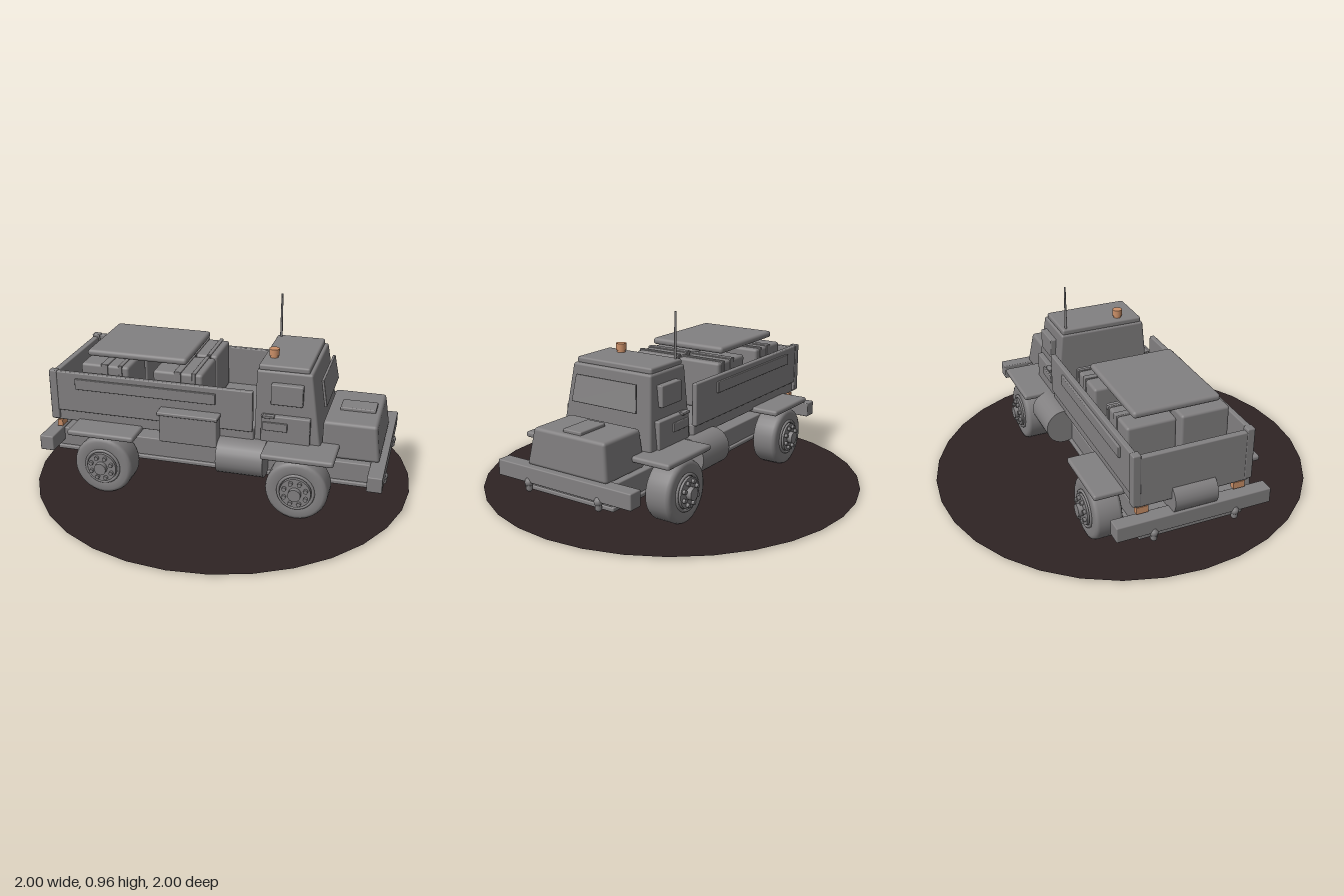
import * as THREE from 'three';
import { RoundedBoxGeometry } from 'three/addons/geometries/RoundedBoxGeometry.js';

export function createModel() {
  const root = new THREE.Group();
  const mat = (name, color, side = THREE.FrontSide) => {
    const m = new THREE.MeshStandardMaterial({ color, side });
    m.name = name;
    return m;
  };
  const grey = mat('body grey', 0x828081);
  const amber = mat('amber lamp', 0xcc9068);
  const earth = mat('dark ground', 0x2e2324, THREE.DoubleSide);

  const add = (name, geo, x, y, z, material = grey, parent = root) => {
    const mesh = new THREE.Mesh(geo, material);
    mesh.name = name;
    mesh.position.set(x, y, z);
    parent.add(mesh);
    return mesh;
  };
  // Box given by its min and max on each axis, with slightly rounded edges
  const box = (name, x0, x1, y0, y1, z0, z1, r = 0.006, material = grey) => {
    const w = x1 - x0, h = y1 - y0, d = z1 - z0;
    const geo = r ? new RoundedBoxGeometry(w, h, d, 2, r) : new THREE.BoxGeometry(w, h, d);
    return add(name, geo, (x0 + x1) / 2, (y0 + y1) / 2, (z0 + z1) / 2, material);
  };
  // Mirrored pair of boxes on +z and -z
  const pair = (name, x0, x1, y0, y1, z0, z1, r, material) => {
    box(name, x0, x1, y0, y1, z0, z1, r, material);
    box(name, x0, x1, y0, y1, -z1, -z0, r, material);
  };
  // Narrow a box toward its top: pull in the front end and both sides
  const taper = (mesh, front, sides) => {
    const g = mesh.geometry, p = g.attributes.position;
    g.computeBoundingBox();
    const b = g.boundingBox.clone();
    for (let i = 0; i < p.count; i++) {
      const t = (p.getY(i) - b.min.y) / (b.max.y - b.min.y);
      const u = (p.getX(i) - b.min.x) / (b.max.x - b.min.x);
      p.setX(i, p.getX(i) - front * t * u);
      p.setZ(i, p.getZ(i) * (1 - sides * t));
    }
    return mesh;
  };

  // Ground disc
  add('ground', new THREE.CircleGeometry(1, 32).rotateX(-Math.PI / 2), 0, 0.008, 0, earth);

  // Chassis and bumpers
  box('chassis', -0.84, 0.84, 0.165, 0.27, -0.255, 0.255);
  box('chassisLip', -0.848, 0.848, 0.15, 0.172, -0.27, 0.27);
  box('frontBumper', 0.813, 0.888, 0.2, 0.28, -0.398, 0.398);
  box('rearBumper', -0.888, -0.813, 0.2, 0.28, -0.398, 0.398);
  for (const x of [-0.878, 0.878]) for (const z of [-0.21, 0.21]) {
    add('towHook', new THREE.CapsuleGeometry(0.017, 0.04, 4, 10), x, 0.19, z);
    add('towEye', new THREE.SphereGeometry(0.022, 12, 8), x, 0.2, z);
  }

  // Wheels: turned tyre, rim, hub and bolts
  const tyreProfile = [[0.05, -0.071], [0.135, -0.071], [0.15, -0.064], [0.156, -0.05],
    [0.156, 0.05], [0.15, 0.064], [0.135, 0.071], [0.1, 0.071], [0.09, 0.064], [0, 0.064]]
    .map(([r, y]) => new THREE.Vector2(r, y));
  const disc = (r, depth, n = 24) => new THREE.CylinderGeometry(r, r, depth, n).rotateX(Math.PI / 2);
  for (const x of [-0.535, 0.475]) {
    add('axle', disc(0.04, 0.6, 16), x, 0.158, 0);
    for (const s of [1, -1]) {
      const wheel = new THREE.Group();
      wheel.name = 'wheel';
      wheel.position.set(x, 0.158, s * 0.346);
      if (s < 0) wheel.rotation.y = Math.PI;
      root.add(wheel);
      add('tyre', new THREE.LatheGeometry(tyreProfile, 32).rotateX(Math.PI / 2), 0, 0, 0, grey, wheel);
      add('rimRing', new THREE.TorusGeometry(0.088, 0.008, 8, 28), 0, 0, 0.07, grey, wheel);
      add('rim', disc(0.078, 0.03), 0, 0, 0.07, grey, wheel);
      add('hub', disc(0.032, 0.05, 16), 0, 0, 0.086, grey, wheel);
      for (let i = 0; i < 8; i++) {
        const a = (i + 0.5) * Math.PI / 4;
        add('bolt', disc(0.011, 0.02, 8), 0.058 * Math.cos(a), 0.058 * Math.sin(a), 0.09, grey, wheel);
      }
    }
  }
  pair('rearFender', -0.714, -0.356, 0.32, 0.35, 0.26, 0.436, 0.012);
  pair('frontFender', 0.297, 0.655, 0.32, 0.35, 0.22, 0.436, 0.012);

  // Side tanks, tool box and rear roll
  for (const z of [-0.3, 0.3])
    add('fuelTank', new THREE.CylinderGeometry(0.094, 0.094, 0.24, 24).rotateZ(Math.PI / 2), 0.18, 0.258, z);
  box('toolBox', -0.24, 0.06, 0.315, 0.465, 0.29, 0.365);
  box('toolBoxLid', -0.25, 0.066, 0.46, 0.48, 0.29, 0.373);
  add('rearRoll', disc(0.079, 0.22), -0.815, 0.33, 0);

  // Cargo bed
  box('bedFloor', -0.85, 0.23, 0.335, 0.4, -0.29, 0.29);
  pair('bedSide', -0.85, 0.227, 0.395, 0.612, 0.275, 0.303);
  pair('sidePanel', -0.71, 0.04, 0.525, 0.583, 0.295, 0.314, 0.004);
  box('tailgate', -0.853, -0.82, 0.34, 0.6, -0.28, 0.28);
  pair('cornerPost', -0.855, -0.812, 0.345, 0.615, 0.265, 0.306);

  // Cargo: strapped crates under a flat cover
  for (const x of [-0.56, -0.17]) {
    pair('crate', x - 0.13, x + 0.13, 0.4, 0.655, 0.012, 0.262, 0.014);
    pair('crateStrap', x - 0.018, x + 0.018, 0.4, 0.662, 0.008, 0.266, 0.004);
    pair('crateStrap', x + 0.075, x + 0.095, 0.4, 0.662, 0.008, 0.266, 0.004);
  }
  box('cargoCover', -0.67, -0.135, 0.68, 0.716, -0.222, 0.222, 0.016);

  // Cab, windows and doors
  taper(box('cab', 0.23, 0.567, 0.33, 0.705, -0.272, 0.272, 0.012), 0.058, 0.14);
  box('roof', 0.238, 0.492, 0.7, 0.732, -0.225, 0.225, 0.01);
  const glass = taper(box('windshield', 0.553, 0.567, 0.527, 0.663, -0.195, 0.195, 0.004), 0, 0.07);
  glass.rotation.z = 0.17;
  pair('sideWindow', 0.31, 0.47, 0.543, 0.65, 0.23, 0.272, 0.006);
  pair('door', 0.265, 0.512, 0.34, 0.487, 0.24, 0.284, 0.006);
  pair('doorPocket', 0.275, 0.4, 0.41, 0.455, 0.27, 0.292, 0.004);
  pair('doorHandle', 0.275, 0.335, 0.478, 0.492, 0.27, 0.298, 0.004);

  // Hood
  taper(box('hood', 0.565, 0.856, 0.275, 0.458, -0.24, 0.24, 0.016), 0.025, 0.12);
  box('hoodScoop', 0.625, 0.805, 0.45, 0.474, -0.054, 0.054, 0.006);

  // Antenna and lamps
  add('antenna', new THREE.CylinderGeometry(0.005, 0.007, 0.25, 8), 0.26, 0.84, -0.2);
  add('beaconBase', new THREE.CylinderGeometry(0.021, 0.021, 0.025, 16), 0.29, 0.74, 0.108, amber);
  add('beacon', new THREE.CylinderGeometry(0.026, 0.026, 0.034, 16), 0.29, 0.76, 0.108, amber);
  pair('tailLamp', -0.838, -0.81, 0.29, 0.325, 0.22, 0.28, 0, amber);

  return root;
}
